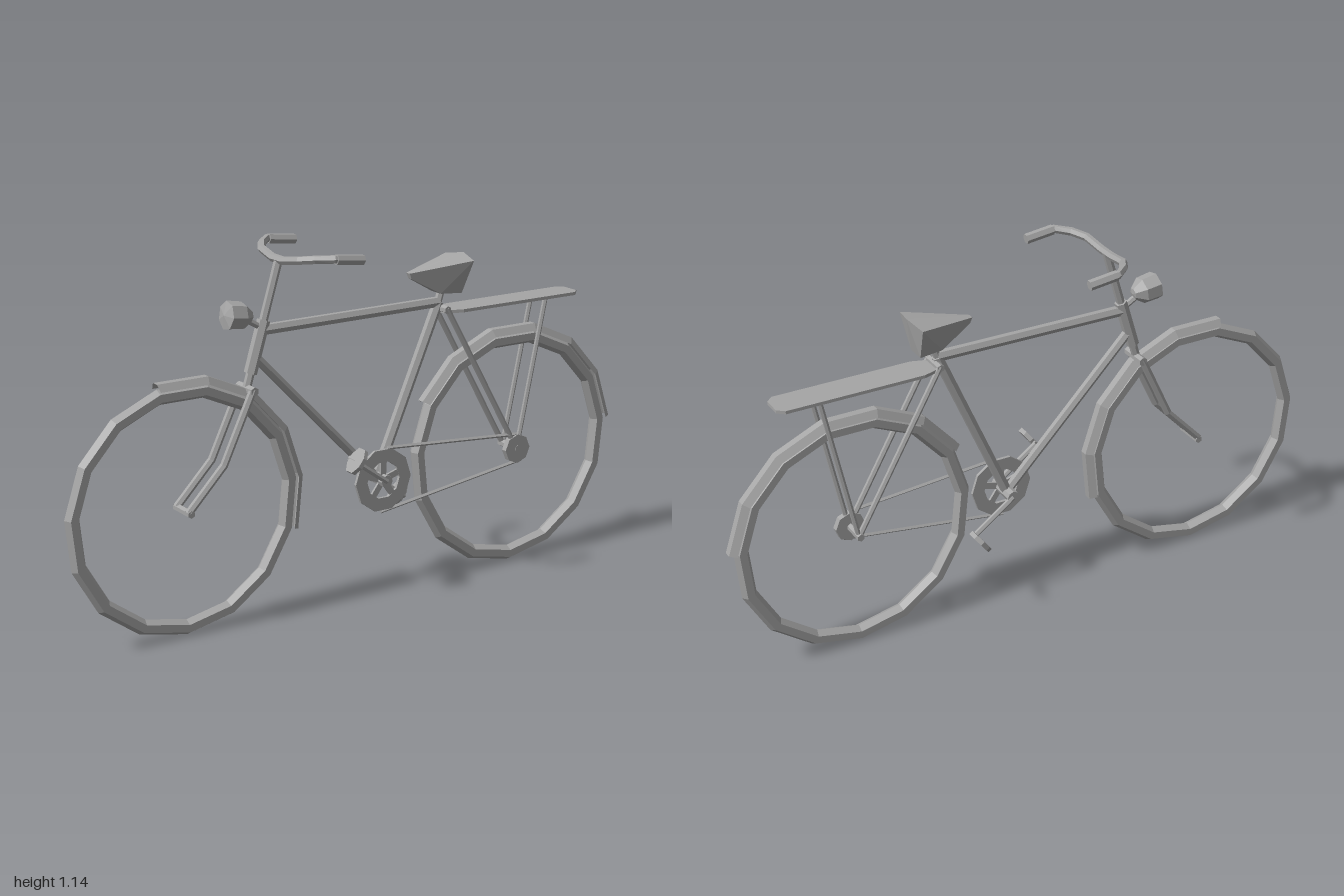
import * as THREE from 'three';
import { ConvexGeometry } from 'three/addons/geometries/ConvexGeometry.js';

const V = (x, y, z) => new THREE.Vector3(x, y, z);
const FRONT = V(-0.612, 0.388, 0), REAR = V(0.585, 0.388, 0), CRANK = V(0.067, 0.373, 0);

// Straight-segment path sampled exactly at its corners
class Polyline extends THREE.Curve {
  constructor(points) { super(); this.points = points; }
  getPoint(t, out = V(0, 0, 0)) {
    const n = this.points.length - 1, i = Math.min(Math.floor(t * n + 1e-9), n - 1);
    return out.lerpVectors(this.points[i], this.points[i + 1], t * n - i);
  }
  getPointAt(u, out) { return this.getPoint(u, out); }
  getTangentAt(u, out) { return this.getTangent(u, out); }
}

export function createModel() {
  const group = new THREE.Group();
  const grey = new THREE.MeshStandardMaterial({ color: 0xa6a6a6, side: THREE.DoubleSide });
  grey.name = 'grey metal';

  // Adds a faceted mesh
  function add(name, geometry, parent = group) {
    const g = geometry.index ? geometry.toNonIndexed() : geometry;
    g.computeVertexNormals();
    const mesh = new THREE.Mesh(g, grey);
    mesh.name = name;
    parent.add(mesh);
    return mesh;
  }
  // Straight rod between two points
  function rod(name, a, b, r, sides = 6) {
    const d = b.clone().sub(a);
    const mesh = add(name, new THREE.CylinderGeometry(r, r, d.length(), sides));
    mesh.position.copy(a).add(b).multiplyScalar(0.5);
    mesh.quaternion.setFromUnitVectors(V(0, 1, 0), d.normalize());
    return mesh;
  }
  const bentRod = (name, points, r) =>
    add(name, new THREE.TubeGeometry(new Polyline(points), points.length - 1, r, 6));

  // Wheels: fifteen-sided tyres with a corner at the ground
  for (const [name, c] of [['frontWheel', FRONT], ['rearWheel', REAR]]) {
    const tyre = add(name, new THREE.TorusGeometry(0.364, 0.024, 6, 15).rotateZ(-Math.PI / 2));
    tyre.position.copy(c);
  }

  // Mudguards: folded strip swept round the wheel in 24 degree steps
  function mudguard(name, c, from, steps) {
    const section = [[0.384, 0.026], [0.406, 0.012], [0.406, -0.012], [0.384, -0.026]];
    const pos = [], idx = [];
    for (let i = 0; i <= steps; i++) {
      const a = THREE.MathUtils.degToRad(from - 24 * i);
      for (const [r, z] of section) pos.push(r * Math.cos(a), r * Math.sin(a), z);
      if (i < steps) for (let j = 0; j < 3; j++) {
        const k = i * 4 + j;
        idx.push(k, k + 4, k + 1, k + 1, k + 4, k + 5);
      }
    }
    const g = new THREE.BufferGeometry();
    g.setAttribute('position', new THREE.Float32BufferAttribute(pos, 3));
    g.setIndex(idx);
    add(name, g).position.copy(c);
  }
  mudguard('frontMudguard', FRONT, 102, 5);
  mudguard('rearMudguard', REAR, 150, 6);

  // Frame
  const seatTop = V(0.297, 0.9, 0);
  rod('topTube', V(-0.345, 0.896, 0), seatTop, 0.017);
  rod('downTube', V(-0.365, 0.82, 0), CRANK, 0.015);
  rod('seatTube', seatTop, CRANK, 0.017);
  rod('seatPost', V(0.29, 0.88, 0), V(0.315, 0.96, 0), 0.012);
  rod('headTube', V(-0.332, 0.925, 0), V(-0.38, 0.77, 0), 0.02);
  rod('steeringColumn', V(-0.277, 1.105, 0), V(-0.392, 0.73, 0), 0.013);
  rod('seatClamp', V(0.305, 0.88, -0.042), V(0.305, 0.88, 0.042), 0.012);
  rod('forkCrown', V(-0.392, 0.725, -0.046), V(-0.392, 0.725, 0.046), 0.014);
  rod('frontAxle', V(FRONT.x, FRONT.y, -0.047), V(FRONT.x, FRONT.y, 0.047), 0.012);
  rod('rearAxle', V(REAR.x, REAR.y, -0.047), V(REAR.x, REAR.y, 0.047), 0.012);
  for (const s of [-1, 1]) {
    const z = 0.036 * s;
    bentRod('forkLeg', [V(-0.392, 0.73, z), V(-0.495, 0.515, z), V(-0.616, 0.39, z)], 0.012);
    rod('seatStay', V(0.305, 0.885, z), V(0.585, 0.39, z), 0.009);
    rod('rackStay', V(0.69, 0.868, z), V(0.59, 0.4, z), 0.008);
  }

  // Luggage rack with clipped rear corners
  const rack = new THREE.Shape([[0.3, -0.03], [0.36, -0.049], [0.8, -0.049], [0.822, -0.03],
    [0.822, 0.03], [0.8, 0.049], [0.36, 0.049], [0.3, 0.03]].map(p => new THREE.Vector2(...p)));
  add('luggageRack', new THREE.ExtrudeGeometry(rack, { depth: 0.01, bevelEnabled: false })
    .rotateX(Math.PI / 2)).position.y = 0.877;

  // Saddle
  const saddle = [V(0.392, 1.045, 0)];
  for (const s of [-1, 1]) saddle.push(V(0.183, 1.003, 0.01 * s), V(0.19, 0.985, 0.008 * s),
    V(0.377, 1.032, 0.075 * s), V(0.29, 0.93, 0.025 * s), V(0.365, 0.925, 0.03 * s));
  add('saddle', new ConvexGeometry(saddle));

  // Handlebar and grips
  const half = [[-0.28, 1.1, 0.03], [-0.272, 1.113, 0.105], [-0.245, 1.12, 0.15],
    [-0.205, 1.123, 0.187], [-0.115, 1.112, 0.187]];
  bentRod('handlebar', [...half.map(([x, y, z]) => V(x, y, -z)).reverse(),
    ...half.map(p => V(...p))], 0.013);
  for (const s of [-1, 1])
    rod('grip', V(-0.2, 1.122, 0.187 * s), V(-0.107, 1.111, 0.187 * s), 0.016);

  // Headlamp
  const lampProfile = [[0, 0], [0.018, 0.004], [0.042, 0.035], [0.044, 0.085], [0, 0.094]];
  const lamp = add('headlamp', new THREE.LatheGeometry(
    lampProfile.map(p => new THREE.Vector2(...p)), 7));
  lamp.position.set(-0.373, 0.942, 0);
  lamp.rotation.z = Math.PI / 2 - 0.14;
  rod('lampBracket', V(-0.395, 0.935, 0), V(-0.335, 0.9, 0), 0.01);

  // Chainwheel: ring, spokes and hub
  const chainwheel = new THREE.Group();
  chainwheel.name = 'chainwheel';
  chainwheel.position.set(CRANK.x, CRANK.y, 0.032);
  group.add(chainwheel);
  const ngon = (r, n) => Array.from({ length: n }, (_, i) =>
    new THREE.Vector2(r * Math.cos(i * 2 * Math.PI / n), r * Math.sin(i * 2 * Math.PI / n)));
  const ring = new THREE.Shape(ngon(0.102, 10));
  ring.holes.push(new THREE.Path(ngon(0.06, 10)));
  add('chainring', new THREE.ExtrudeGeometry(ring, { depth: 0.01, bevelEnabled: false }), chainwheel);
  for (let i = 0; i < 5; i++) add('spoke', new THREE.BoxGeometry(0.06, 0.02, 0.008)
    .translate(0.035, 0, 0.005).rotateZ(0.3 + i * Math.PI * 0.4), chainwheel);
  rod('crankAxle', V(CRANK.x, CRANK.y, -0.045), V(CRANK.x, CRANK.y, 0.062), 0.02, 8);

  // Rear sprocket and chain
  rod('rearSprocket', V(REAR.x, REAR.y, 0.026), V(REAR.x, REAR.y, 0.046), 0.048, 8);
  rod('upperChain', V(0.085, 0.473, 0.037), V(0.585, 0.435, 0.037), 0.006, 4);
  rod('lowerChain', V(0.06, 0.27, 0.037), V(0.605, 0.347, 0.037), 0.006, 4);

  // Crank arms and six-sided pedals
  const plate = new THREE.Shape([[-0.032, -0.015], [-0.016, -0.04], [0.016, -0.04], [0.032, -0.015],
    [0.032, 0.015], [0.016, 0.04], [-0.016, 0.04], [-0.032, 0.015]].map(p => new THREE.Vector2(...p)));
  for (const [x, y, armZ, pedalZ] of [[-0.07, 0.472, 0.06, 0.1], [0.203, 0.275, -0.042, -0.08]]) {
    rod('crankArm', V(CRANK.x, CRANK.y, armZ), V(x, y, armZ), 0.009);
    rod('pedalAxle', V(x, y, armZ), V(x, y, pedalZ), 0.008);
    const pedal = add('pedal', new THREE.ExtrudeGeometry(plate, { depth: 0.014, bevelEnabled: false })
      .translate(0, 0, -0.007).rotateY(Math.PI / 2).rotateZ(-0.65));
    pedal.position.set(x, y, pedalZ);
  }
  return group;
}
